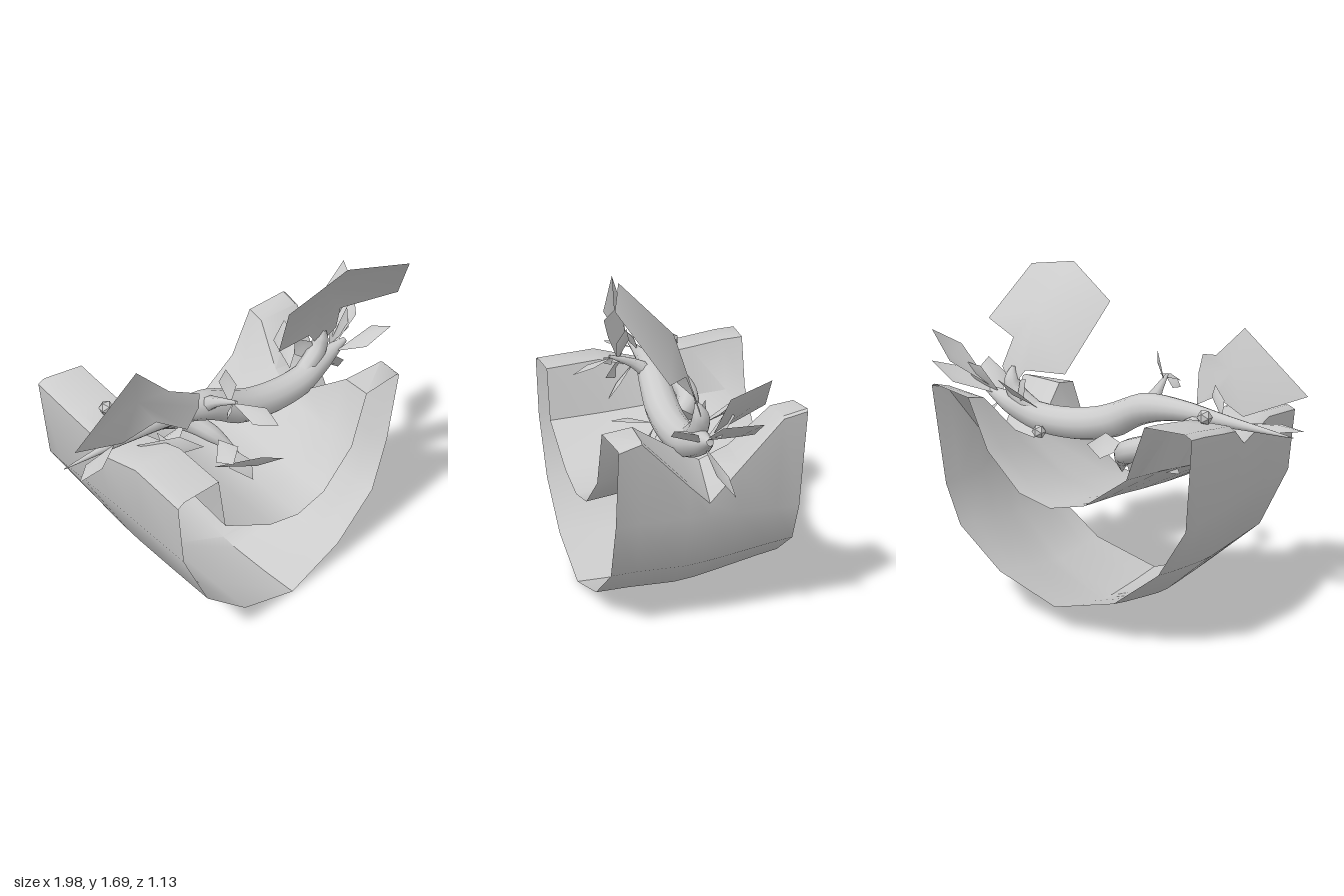
import * as THREE from 'three';
import { toCreasedNormals } from 'three/addons/utils/BufferGeometryUtils.js';

const material = new THREE.MeshStandardMaterial({ color: 0xcccccc, side: THREE.DoubleSide });
const V = (p) => new THREE.Vector3(...p);

function mesh(name, geometry) {
  const m = new THREE.Mesh(geometry, material);
  m.name = name;
  return m;
}

// Skin a list of equal-length closed rings; the ends stay open
function loft(rings) {
  const n = rings[0].length, index = [];
  for (let i = 0; i < rings.length - 1; i++) {
    for (let j = 0; j < n; j++) {
      const a = i * n + j, b = i * n + (j + 1) % n;
      index.push(a, a + n, b, b, a + n, b + n);
    }
  }
  const g = new THREE.BufferGeometry();
  g.setAttribute('position', new THREE.Float32BufferAttribute(rings.flat(2), 3));
  g.setIndex(index);
  g.computeVertexNormals();
  return g;
}

// One ring of the hollow log: outer half round, two rims, inner trough
function logRing({ z, slant = 0, shift, lift, left, right, inner, floor }) {
  const low = (y) => y + lift * (1 - Math.min(y, 1));
  const f = (y) => Math.min(floor + y, inner - 0.02);
  const rimX = 0.7 + (right - 0.63) * 0.14;
  const ring = [
    [-0.765, left - 0.02], [-0.742, 0.67], [-0.6, low(0.35)], [-0.35, low(0.12)], [0, low(0)],
    [0.35, low(0.12)], [0.61, low(0.34)], [0.7, 0.63], [rimX, right - 0.01],
    [rimX - 0.015, right], [0.44 + (inner - 0.81) * 0.3, inner], [0.41, f(0.22)], [0.21, f(0.04)],
    [0.02, floor], [-0.18, f(0.05)], [-0.45 - shift * 0.6, floor + 0.22], [-0.52, left], [-0.73, left],
  ];
  return ring.map(([x, y]) => [x + shift, y, z - slant * (x + shift)]);
}

// Limb that tapers along a smooth path, radii given per point
function limb(name, points, radii, sides = 10, steps = 24) {
  const curve = new THREE.CatmullRomCurve3(points.map(V));
  const frames = curve.computeFrenetFrames(steps);
  const rings = [];
  for (let i = 0; i <= steps; i++) {
    const t = (i / steps) * (radii.length - 1), k = Math.min(Math.floor(t), radii.length - 2);
    const r = THREE.MathUtils.lerp(radii[k], radii[k + 1], t - k);
    const c = curve.getPoint(i / steps);
    rings.push(Array.from({ length: sides }, (_, j) => {
      const a = (j / sides) * Math.PI * 2;
      return c.clone().addScaledVector(frames.normals[i], r * Math.cos(a))
        .addScaledVector(frames.binormals[i], r * Math.sin(a)).toArray();
    }));
  }
  return mesh(name, loft(rings));
}

// Thin leaf fanned from a raised middle point to its outline
function leaf(name, middle, outline) {
  const g = new THREE.BufferGeometry();
  g.setAttribute('position', new THREE.Float32BufferAttribute([middle, ...outline].flat(), 3));
  g.setIndex(outline.flatMap((_, i) => [0, i + 1, (i + 1) % outline.length + 1]));
  g.computeVertexNormals();
  return mesh(name, g);
}

// Small pointed leaf from base to tip
function blade(name, base, tip, width, side) {
  const a = V(base), b = V(tip), s = V(side).normalize().multiplyScalar(width);
  const lift = b.clone().sub(a).cross(s).normalize().multiplyScalar(width * 0.3);
  const mid = a.clone().lerp(b, 0.6);
  return leaf(name, mid.clone().add(lift).toArray(), [
    base, mid.clone().add(s).toArray(), tip, mid.clone().sub(s).toArray(),
  ]);
}

export function createModel() {
  const model = new THREE.Group();

  // Hollow half log with a slanted front end and notched rims
  const rings = [
    { z: 0.44, slant: 0.17, shift: 0.05, lift: 0, left: 1.01, right: 1.02, inner: 1.01, floor: 0.51 },
    { z: 0.22, slant: 0.03, shift: 0.025, lift: 0, left: 1.04, right: 1.05, inner: 1.03, floor: 0.535 },
    { z: -0.03, shift: 0.005, lift: 0, left: 0.97, right: 0.81, inner: 0.87, floor: 0.565 },
    { z: -0.13, shift: -0.005, lift: 0.015, left: 1.05, right: 0.71, inner: 0.81, floor: 0.58 },
    { z: -0.27, shift: -0.02, lift: 0.05, left: 1.07, right: 0.88, inner: 0.88, floor: 0.6 },
    { z: -0.46, shift: -0.04, lift: 0.1, left: 1.1, right: 1.11, inner: 1.08, floor: 0.62 },
    { z: -0.57, shift: -0.045, lift: 0.13, left: 1.11, right: 1.14, inner: 1.1, floor: 0.63 },
  ];
  model.add(mesh('hollowLog', toCreasedNormals(loft(rings.map(logRing)), 0.65)));

  // Branch across the log, with side limbs and twig
  model.add(limb('branch', [
    [-0.99, 1.0, 0.02], [-0.65, 1.03, 0.0], [-0.38, 1.05, -0.01], [-0.18, 1.03, -0.01],
    [0.02, 0.94, -0.02], [0.22, 0.9, -0.04], [0.45, 0.91, -0.07], [0.62, 0.97, -0.1],
    [0.78, 1.03, -0.11],
  ], [0.002, 0.03, 0.055, 0.08, 0.088, 0.085, 0.078, 0.06, 0.015], 12, 36));
  model.add(limb('sideLimb', [
    [-0.5, 1.02, -0.03], [-0.38, 0.92, -0.19], [-0.22, 0.86, -0.2], [-0.1, 0.78, -0.08], [0, 0.66, 0.05],
  ], [0.03, 0.06, 0.06, 0.045, 0.004]));
  model.add(limb('twig', [[-0.2, 1.06, 0.02], [-0.19, 1.11, 0.1], [-0.16, 1.16, 0.22]], [0.045, 0.025, 0.008], 6, 8));
  model.add(limb('leafStem', [[0.48, 0.95, -0.08], [0.58, 1.03, -0.1], [0.61, 1.1, -0.1], [0.61, 1.16, -0.08]],
    [0.05, 0.05, 0.04, 0.01], 8, 10));

  // Large upright leaf
  model.add(leaf('largeLeaf', [0.52, 1.46, 0.01], [
    [0.17, 1.51, 0.18], [0.46, 1.69, 0.25], [0.8, 1.65, 0.31], [0.94, 1.36, 0.1],
    [0.66, 1.3, -0.02], [0.69, 1.15, -0.08], [0.6, 1.05, -0.11], [0.52, 1.15, -0.09], [0.29, 1.15, -0.05],
  ]));

  // Curled leaf at the left end
  model.add(leaf('curledLeaf', [-0.62, 1.26, 0.08], [
    [-0.99, 1.17, 0.15], [-0.65, 1.46, 0.14], [-0.49, 1.31, 0.15], [-0.37, 1.29, 0.22],
    [-0.36, 1.2, 0.2], [-0.39, 1.05, 0.14], [-0.53, 1.12, 0.09], [-0.7, 1.05, 0.06],
  ]));

  // Smaller leaves: base, tip, half width, width direction
  const blades = {
    rightEnd: [
      [[0.68, 1.0, -0.1], [0.99, 1.18, -0.3], 0.08, [0.2, 0.3, 0.9]],
      [[0.72, 1.05, -0.14], [0.94, 1.36, -0.34], 0.1, [0.4, 0.3, 0.9]],
      [[0.7, 1.0, -0.08], [0.93, 1.15, 0.08], 0.08, [0.8, 0.3, -0.7]],
      [[0.68, 0.98, -0.1], [0.84, 0.78, -0.22], 0.05, [0.5, 0.3, 0.6]],
      [[0.68, 1.02, -0.12], [0.86, 1.18, -0.2], 0.07, [0.6, -0.6, 0.3]],
      [[0.42, 0.97, -0.12], [0.52, 1.14, -0.31], 0.07, [1, 0, 0.5]],
      [[0.58, 0.96, -0.1], [0.47, 1.12, -0.15], 0.06, [0.5, 0.6, 0.4]],
    ],
    twig: [
      [[-0.17, 1.13, 0.18], [-0.16, 1.3, 0.13], 0.045, [0.6, 0, 0.8]],
      [[-0.17, 1.15, 0.2], [-0.06, 1.1, 0.42], 0.06, [1, 0.3, -0.4]],
      [[-0.17, 1.15, 0.2], [-0.23, 1.1, 0.24], 0.03, [0, 0.7, 0.7]],
    ],
    leftEnd: [
      [[-0.72, 1.03, 0.02], [-0.98, 1.0, 0.15], 0.05, [0.4, 0.2, 1]],
      [[-0.62, 1.0, 0.05], [-0.35, 0.98, 0.22], 0.05, [0.3, 1, 0]],
      [[-0.5, 1.02, 0.04], [-0.42, 0.83, 0.2], 0.05, [1, 0.3, 0]],
      [[-0.62, 1.04, 0], [-0.53, 1.18, 0.08], 0.05, [1, 0, 0.4]],
    ],
    inner: [
      [[-0.22, 0.73, 0.1], [0.14, 0.7, 0.21], 0.075, [0, 0.8, 0.7]],
      [[-0.25, 0.9, -0.1], [-0.45, 0.76, -0.1], 0.09, [0.2, 0.4, 0.9]],
      [[-0.15, 0.85, -0.12], [0.02, 0.86, -0.22], 0.08, [0.3, 0.6, 0.7]],
      [[-0.12, 0.8, 0], [-0.18, 0.8, 0.22], 0.07, [1, 0.3, 0]],
      [[-0.1, 0.78, 0], [0.0, 0.58, 0.14], 0.06, [0.8, 0.3, 0.4]],
    ],
  };
  for (const [place, list] of Object.entries(blades)) {
    const group = new THREE.Group();
    group.name = `${place}Leaves`;
    list.forEach((b) => group.add(blade('leaf', ...b)));
    model.add(group);
  }

  // Small berries
  for (const p of [[-0.64, 1.09, -0.19], [0.37, 0.86, -0.17]]) {
    const berry = mesh('berry', new THREE.IcosahedronGeometry(0.038, 0));
    berry.position.set(...p);
    model.add(berry);
  }
  return model;
}
